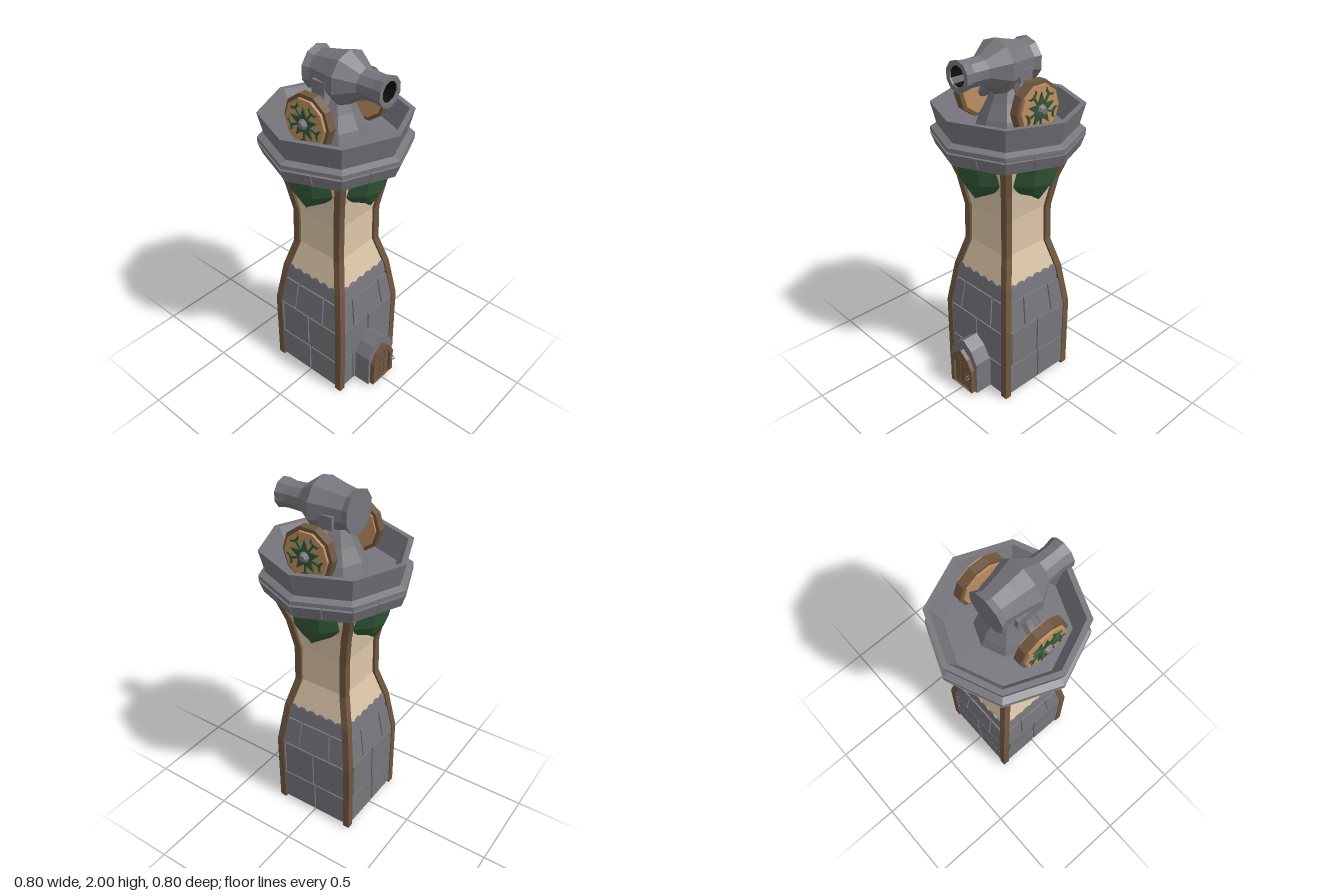
import * as THREE from 'three';

const mat = (name, color) => Object.assign(new THREE.MeshStandardMaterial({ color }), { name });

export function createModel() {
  const M = {
    stone: mat('stone grey', 0x76757b),
    plaster: mat('plaster cream', 0xdcc6a8),
    wood: mat('dark wood', 0x705740),
    paleWood: mat('pale wood', 0xbd8f62),
    green: mat('leaf green', 0x315736),
    black: mat('bore black', 0x0c0c0c),
  };
  const model = new THREE.Group();
  model.name = 'cannonTower';

  const add = (parent, name, geo, material) => {
    const g = geo.index ? geo.toNonIndexed() : geo; // faceted look
    g.computeVertexNormals();
    const mesh = new THREE.Mesh(g, material);
    mesh.name = name;
    parent.add(mesh);
    return mesh;
  };
  const group = (parent, name) => {
    const g = new THREE.Group();
    g.name = name;
    parent.add(g);
    return g;
  };
  // Move every vertex by a rule
  const warp = (geo, rule) => {
    const p = geo.attributes.position;
    for (let i = 0; i < p.count; i++) p.setXYZ(i, ...rule(p.getX(i), p.getY(i), p.getZ(i)));
    return geo;
  };
  const lathe = (pts, sides) => new THREE.LatheGeometry(pts.map(p => new THREE.Vector2(...p)), sides);
  const extrude = (shape, depth) => new THREE.ExtrudeGeometry(shape, { depth, bevelEnabled: false });
  const shapeOf = pts => new THREE.Shape(pts.map(p => new THREE.Vector2(...p)));

  // Half width of the square tower at each height
  const profile = [[0, 0.25], [0.45, 0.25], [0.7, 0.213], [0.87, 0.167], [1.08, 0.165], [1.25, 0.193], [1.46, 0.256]];
  const half = y => {
    let i = 0;
    while (i < profile.length - 2 && y > profile[i + 1][0]) i++;
    const [[y0, a], [y1, b]] = [profile[i], profile[i + 1]];
    return a + (b - a) * (y - y0) / (y1 - y0);
  };
  const wall = y => half(y) - 0.015;

  // Box whose rows follow the listed heights
  const tower = (levels, place) => {
    const n = levels.length - 1;
    return warp(new THREE.BoxGeometry(2, 1, 2, 1, n, 1), (x, y, z) => {
      const h = levels[Math.round((y + 0.5) * n)];
      return place(x, h, z);
    });
  };
  const square = (x, y, z) => [x * wall(y), y, z * wall(y)];
  add(model, 'stoneCore', tower([0.014, 0.45, 0.7], square), M.stone);
  add(model, 'plasterWalls', tower([0.7, 0.87, 1.08, 1.25, 1.46], square), M.plaster);
  add(model, 'woodenUnderside', new THREE.BoxGeometry(0.47, 0.008, 0.47).translate(0, 0.011, 0), M.wood);

  // Corner posts
  const levels = profile.map(p => p[0]);
  for (const sx of [-1, 1]) for (const sz of [-1, 1]) {
    const w = 0.02;
    add(model, 'cornerPost', tower(levels, (x, y, z) =>
      [sx * (half(y) - w) + x * w, y, sz * (half(y) - w) + z * w]), M.wood);
  }

  // Stone blocks, ragged stone edge and hanging shield on each side
  const frontRows = [[0.014, 0.22, [-0.13, 0.11]], [0.22, 0.44, [0]], [0.44, 0.62, [-0.13, 0.12]]];
  const otherRows = [[0.014, 0.21, [0.01]], [0.21, 0.44, [-0.2, 0]], [0.44, 0.62, [-0.1, 0.11]]];
  const shieldRows = [ // height, half width, edge depth, middle depth
    [1.46, 0.165, 0.21, 0.315], [1.4, 0.165, 0.205, 0.308], [1.3, 0.153, 0.185, 0.29],
    [1.235, 0.085, 0.18, 0.258], [1.195, 0.002, 0.18, 0.232],
  ];
  for (let f = 0; f < 4; f++) {
    const side = group(model, 'towerSide');
    side.rotation.y = f * Math.PI / 2;
    for (const [y0, y1, splits] of f === 0 ? frontRows : otherRows) {
      const edges = [-0.218, ...splits, 0.218];
      for (let i = 0; i < edges.length - 1; i++) {
        const w = edges[i + 1] - edges[i] - 0.01;
        const box = new THREE.BoxGeometry(w, y1 - y0 - 0.01, 0.02)
          .translate((edges[i] + edges[i + 1]) / 2, (y0 + y1) / 2, 0);
        add(side, 'stoneBlock', warp(box, (x, y, z) => [x * wall(y) / 0.235, y, wall(y) + z]), M.stone);
      }
    }
    const ragged = [[-0.2, 0.64], [0.2, 0.64]];
    for (let i = 0; i <= 18; i++) ragged.push([0.2 - i * 0.4 / 18, i % 3 === 0 ? 0.7 : 0.713]);
    add(side, 'raggedStoneEdge', warp(extrude(shapeOf(ragged), 0.008),
      (x, y, z) => [x * wall(y) / 0.21, y, wall(y) - 0.002 + z]), M.stone);

    const shield = new THREE.PlaneGeometry(2, 1, 4, shieldRows.length - 1);
    warp(shield, (x, y) => {
      const [h, w, edge, mid] = shieldRows[Math.round((0.5 - y) * (shieldRows.length - 1))];
      const bulge = [1, 0.78, 0][Math.round(Math.abs(x) * 2)];
      return [x * w, h, edge + (mid - edge) * bulge];
    });
    add(side, 'hangingShield', shield, M.green);
    add(side, 'shieldTip', shapeTip(), M.green);
  }
  // Underside that closes the shield against the wall
  function shapeTip() {
    const g = new THREE.ConeGeometry(0.035, 0.07, 4, 1);
    return g.rotateX(Math.PI).translate(0, 1.232, 0.198);
  }

  // Porch and pointed door
  const arch = (w, shoulder, peak) => [[-w, 0.012], [w, 0.012], [w, shoulder],
    [w * 0.6, shoulder + (peak - shoulder) * 0.6], [0, peak],
    [-w * 0.6, shoulder + (peak - shoulder) * 0.6], [-w, shoulder]];
  const door = group(model, 'doorway');
  const porch = shapeOf(arch(0.108, 0.215, 0.332));
  add(door, 'stonePorch', extrude(porch, 0.125).translate(0, 0, 0.22), M.stone);
  const frame = shapeOf(arch(0.09, 0.17, 0.272));
  frame.holes.push(new THREE.Path(arch(0.066, 0.155, 0.238).map(p => new THREE.Vector2(...p))));
  add(door, 'doorFrame', extrude(frame, 0.03).translate(0, 0, 0.34), M.wood);
  for (const i of [-1, 0, 1]) {
    const a = i * 0.042 - 0.019, b = i * 0.042 + 0.019;
    const top = x => 0.245 - Math.abs(x) * 1.25;
    const pts = [[a, 0.014], [b, 0.014], [b, top(b)], ...(i ? [] : [[0, top(0)]]), [a, top(a)]];
    add(door, 'doorPlank', extrude(shapeOf(pts), 0.02).translate(0, 0, 0.338), M.wood);
  }
  add(door, 'doorHandle', new THREE.TorusGeometry(0.014, 0.003, 4, 8)
    .rotateY(Math.PI / 2).translate(0.073, 0.125, 0.382), M.stone);

  // Eight-sided parapet
  const top = group(model, 'parapet');
  add(top, 'parapetBowl', lathe([[0.362, 1.53], [0.395, 1.66], [0.365, 1.66], [0.31, 1.54], [0, 1.54]], 8), M.stone);
  add(top, 'parapetLedge', lathe([[0.34, 1.5], [0.4, 1.505], [0.4, 1.525], [0.36, 1.542]], 8), M.stone);
  add(top, 'parapetBase', lathe([[0, 1.432], [0.355, 1.432], [0.385, 1.5], [0.385, 1.51]], 8), M.stone);
  for (let k = 0; k < 8; k++) for (const s of [-1, 1]) {
    const brick = warp(new THREE.BoxGeometry(1, 1, 1), (x, y, z) => {
      const depth = (z > 0 ? (y > 0 ? 0.402 : 0.377) : 0.34) * Math.cos(Math.PI / 8);
      const along = s * 0.5 + x * 0.97;
      return [along * depth * Math.tan(Math.PI / 8), y > 0 ? 1.495 : 1.426 + 0.004 * (k % 2), depth];
    });
    add(top, 'parapetBrick', brick.rotateY((k + 0.5) * Math.PI / 4), M.stone);
  }

  // Cannon, pedestal and carriage
  const cannon = group(model, 'cannon');
  add(cannon, 'pedestal', lathe([[0.165, 1.54], [0.145, 1.6], [0.105, 1.68], [0.07, 1.77]], 8), M.stone);
  const barrel = lathe([[0, -0.125], [0.115, -0.125], [0.1, -0.09], [0.118, 0], [0.14, 0.085], [0.073, 0.182],
    [0.07, 0.27], [0.08, 0.325], [0.055, 0.325], [0.052, 0.3]], 10);
  add(cannon, 'barrel', barrel.rotateX(Math.PI / 2).translate(0, 1.86, 0), M.stone);
  const bore = lathe([[0.053, 0.318], [0.045, 0.2], [0, 0.2]], 10);
  add(cannon, 'bore', bore.rotateX(Math.PI / 2).translate(0, 1.86, 0), M.black);

  for (const s of [-1, 1]) {
    const curve = new THREE.CatmullRomCurve3([[0.2, 1.675], [0.165, 1.68], [0.125, 1.72], [0.08, 1.79]]
      .map(([x, y]) => new THREE.Vector3(s * x, y, 0.015)));
    add(cannon, 'carriageArm', new THREE.TubeGeometry(curve, 5, 0.03, 6), M.stone);
    add(cannon, 'barrelCheek', new THREE.BoxGeometry(0.02, 0.07, 0.08).translate(s * 0.112, 1.82, -0.01), M.stone);

    // Wheel built facing +x, turned round for the other side
    const wheel = group(cannon, 'wheel');
    wheel.position.set(0, 1.688, 0.015);
    if (s < 0) wheel.rotation.y = Math.PI;
    const disc = (r1, r2, x0, x1, n) => new THREE.CylinderGeometry(r2, r1, x1 - x0, n)
      .rotateZ(-Math.PI / 2).translate((x0 + x1) / 2, 0, 0);
    add(wheel, 'wheelRim', disc(0.146, 0.146, 0.186, 0.231, 10), M.wood);
    add(wheel, 'wheelDisc', disc(0.126, 0.126, 0.177, 0.245, 10), M.paleWood);
    add(wheel, 'wheelHub', disc(0.034, 0.016, 0.245, 0.275, 8), M.stone);

    // Leaf star with forked sprigs between its points
    const star = [];
    for (let i = 0; i < 10; i++) {
      const r = i % 2 ? 0.036 : 0.088, a = Math.PI / 2 + i * Math.PI / 5;
      star.push([r * Math.cos(a), r * Math.sin(a)]);
    }
    const face = g => g.rotateY(Math.PI / 2).translate(0.244, 0, 0);
    add(wheel, 'leafStar', face(extrude(shapeOf(star), 0.009)), M.green);
    for (let i = 0; i < 5; i++) {
      const a = (i + 0.5) * Math.PI * 2 / 5;
      const sprig = shapeOf([[-0.005, 0.03], [0.005, 0.03], [0.005, 0.082], [0.024, 0.088], [0.03, 0.106],
        [0.017, 0.096], [0, 0.093], [-0.017, 0.096], [-0.03, 0.106], [-0.024, 0.088], [-0.005, 0.082]]);
      add(wheel, 'leafSprig', face(extrude(sprig, 0.008).rotateZ(a)), M.green);
    }
  }
  return model;
}
